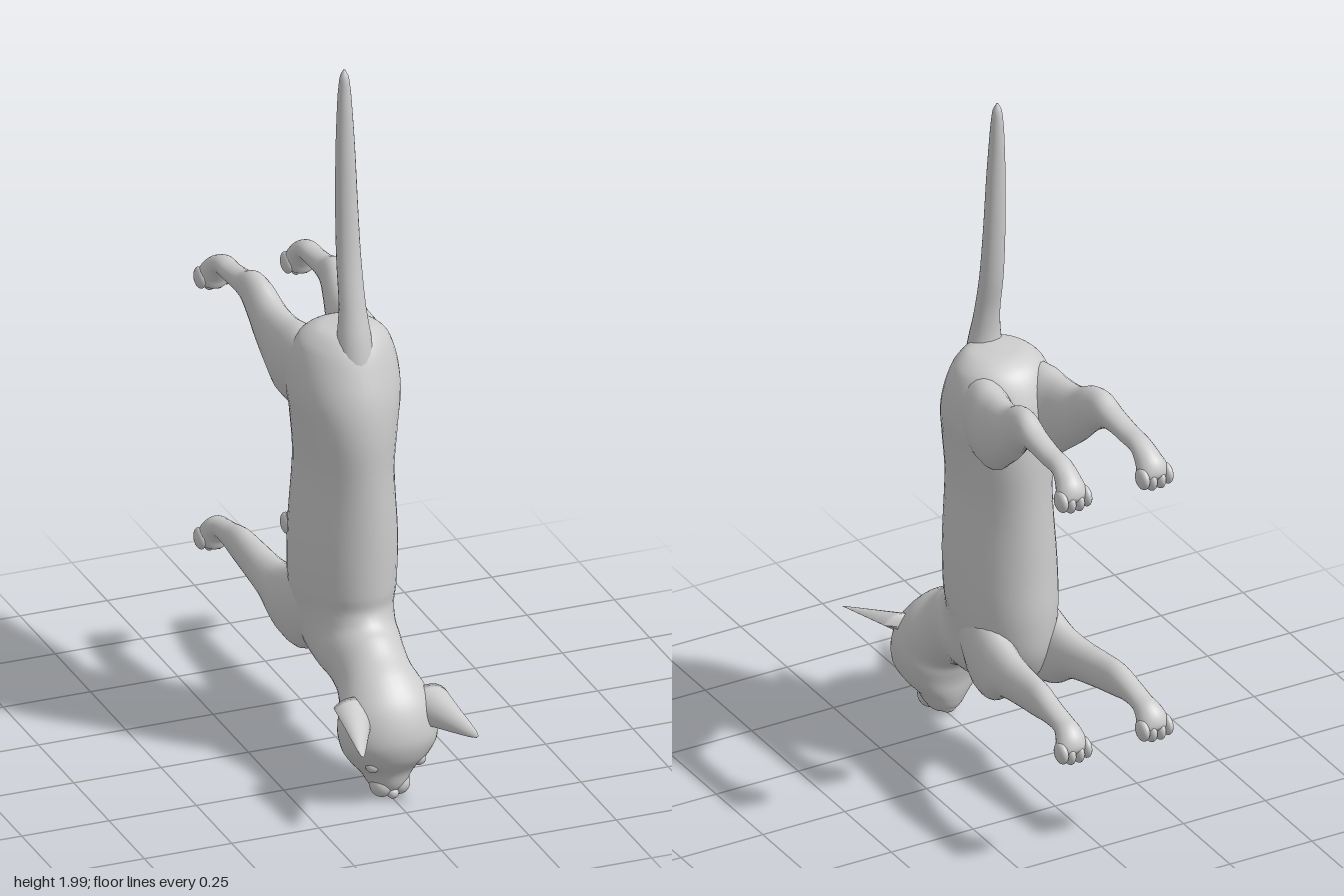
import * as THREE from 'three';

const material = new THREE.MeshStandardMaterial({ color: 0xcccccc, side: THREE.DoubleSide });

// Closed skin over a list of equal-sized rings, capped with a pole at each end
function skin(name, rings) {
  const n = rings[0].length, m = rings.length, pos = [], idx = [];
  rings.forEach(r => r.forEach(p => pos.push(p.x, p.y, p.z)));
  for (let i = 0; i < m - 1; i++) {
    for (let j = 0; j < n; j++) {
      const a = i * n + j, b = i * n + (j + 1) % n;
      idx.push(a, b, a + n, b, b + n, a + n);
    }
  }
  [0, m - 1].forEach((row, k) => {
    const c = new THREE.Vector3();
    rings[row].forEach(p => c.addScaledVector(p, 1 / n));
    pos.push(c.x, c.y, c.z);
    for (let j = 0; j < n; j++) {
      const a = row * n + j, b = row * n + (j + 1) % n;
      if (k) idx.push(m * n + 1, a, b); else idx.push(m * n, b, a);
    }
  });
  const g = new THREE.BufferGeometry();
  g.setAttribute('position', new THREE.Float32BufferAttribute(pos, 3));
  g.setIndex(idx);
  g.computeVertexNormals();
  const mesh = new THREE.Mesh(g, material);
  mesh.name = name;
  return mesh;
}

// Smooth loft; each section is [z1, y1, z2, y2, halfWidth, centreX]:
// two opposite points of the side profile plus the width across x
function loft(name, sections, side = 1, sides = 32, steps = 6) {
  const curve = f => new THREE.CatmullRomCurve3(sections.map(f));
  const first = curve(s => new THREE.Vector3(0, s[1], s[0]));
  const second = curve(s => new THREE.Vector3(0, s[3], s[2]));
  const across = curve((s, i) => new THREE.Vector3(s[4], (s[5] || 0) * side, i * 0.05));
  const rings = [], count = (sections.length - 1) * steps;
  for (let i = 0; i <= count; i++) {
    const t = i / count, a = first.getPoint(t), b = second.getPoint(t), w = across.getPoint(t);
    const centre = a.clone().add(b).multiplyScalar(0.5);
    centre.x = w.y;
    const up = a.sub(b).multiplyScalar(0.5);
    rings.push(Array.from({ length: sides }, (_, j) => {
      const th = j / sides * Math.PI * 2;
      const p = centre.clone().addScaledVector(up, Math.sin(th));
      p.x += w.x * Math.cos(th);
      return p;
    }));
  }
  return skin(name, rings);
}

function ellipsoid(name, x, y, z, rx, ry, rz) {
  const mesh = new THREE.Mesh(new THREE.SphereGeometry(1, 20, 14), material);
  mesh.name = name;
  mesh.position.set(x, y, z);
  mesh.scale.set(rx, ry, rz);
  return mesh;
}

// Cupped ear: crescent cross-sections shrinking to the tip
function ear(name, side) {
  const rings = [], n = 24;
  for (let i = 0; i <= 14; i++) {
    const t = i / 14, w = 0.064 * Math.sqrt(1 - t * 0.99) * (1 - 0.45 * t), d = 0.06 * (1 - t * 0.97);
    const cx = 0.1 + 0.065 * t, cy = 0.265 - 0.02 * t, z = 0.38 + 0.217 * t;
    rings.push(Array.from({ length: n }, (_, j) => {
      const th = side * j / n * Math.PI * 2, s = Math.sin(th);
      const u = w * Math.cos(th);
      const v = d * (s > 0 ? s : -s * (0.75 * t + 0.1 * (1 - t))) - d * 0.25;
      return new THREE.Vector3(side * (cx + 0.8 * u - 0.6 * v), cy + 0.6 * u + 0.8 * v, z);
    }));
  }
  return skin(name, rings);
}

// Lower leg end shared by all four legs, given at a height offset
const paw = dy => [
  [-0.52, 1.14, -0.55, 1.205, 0.037, 0.122],
  [-0.53, 1.115, -0.578, 1.182, 0.044, 0.124],
  [-0.545, 1.112, -0.59, 1.15, 0.04, 0.124],
  [-0.56, 1.118, -0.58, 1.13, 0.015, 0.124],
].map(([a, b, c, d, w, x]) => [a, b + dy, c, d + dy, w, x]);

function leg(name, sections, dy, side) {
  const group = new THREE.Group();
  group.name = name;
  group.add(loft('limb', [...sections, ...paw(dy)], side, 24));
  [-0.036, -0.013, 0.013, 0.036].forEach(o => {
    const outer = Math.abs(o) > 0.02;
    group.add(ellipsoid('toe', side * (0.124 + o), 1.13 + dy + (outer ? 0.008 : 0), -0.565, 0.015, 0.03, 0.031));
  });
  return group;
}

export function createModel() {
  const model = new THREE.Group();
  model.name = 'cat';

  // Rump, back, chest, neck and head as one continuous skin
  model.add(loft('bodyAndHead', [
    [0.1, 1.262, 0.04, 1.26, 0.02],
    [0.14, 1.25, -0.01, 1.252, 0.08],
    [0.17, 1.21, -0.06, 1.222, 0.122],
    [0.197, 1.15, -0.1, 1.15, 0.145],
    [0.225, 1.07, -0.12, 1.07, 0.15],
    [0.24, 0.98, -0.13, 1.0, 0.138],
    [0.242, 0.85, -0.135, 0.85, 0.126],
    [0.242, 0.65, -0.145, 0.65, 0.138],
    [0.24, 0.52, -0.155, 0.5, 0.136],
    [0.238, 0.48, -0.14, 0.39, 0.126],
    [0.25, 0.455, -0.07, 0.29, 0.118],
    [0.265, 0.44, 0.05, 0.25, 0.113],
    [0.29, 0.425, 0.15, 0.235, 0.104],
    [0.33, 0.395, 0.22, 0.21, 0.104],
    [0.39, 0.358, 0.26, 0.185, 0.12],
    [0.452, 0.29, 0.273, 0.15, 0.138],
    [0.481, 0.2, 0.28, 0.12, 0.13],
    [0.468, 0.14, 0.283, 0.09, 0.103],
    [0.435, 0.09, 0.288, 0.065, 0.072],
    [0.42, 0.045, 0.3, 0.035, 0.05],
    [0.395, 0.015, 0.325, 0.015, 0.03],
    [0.37, 0.008, 0.35, 0.008, 0.008],
  ], 1, 40));

  // Tail
  model.add(loft('tail', [
    [0.05, 1.17, 0.19, 1.15, 0.06],
    [0.085, 1.25, 0.172, 1.24, 0.047],
    [0.085, 1.34, 0.148, 1.33, 0.037],
    [0.063, 1.46, 0.122, 1.45, 0.034],
    [0.05, 1.6, 0.105, 1.6, 0.031],
    [0.043, 1.78, 0.092, 1.78, 0.026],
    [0.043, 1.93, 0.08, 1.93, 0.018],
    [0.048, 1.98, 0.073, 1.98, 0.012],
    [0.057, 2.0, 0.063, 2.0, 0.003],
  ], 1, 20));

  // Face details on the centre line
  model.add(ellipsoid('nose', 0, 0.025, 0.405, 0.016, 0.016, 0.016));
  model.add(ellipsoid('chin', 0, 0.036, 0.328, 0.026, 0.024, 0.025));

  const hind = [
    [0.0, 0.98, 0.1, 1.19, 0.05, 0.08],
    [-0.1, 0.985, -0.02, 1.225, 0.068, 0.086],
    [-0.155, 1.025, -0.1, 1.22, 0.058, 0.096],
    [-0.22, 1.08, -0.18, 1.227, 0.05, 0.103],
    [-0.27, 1.13, -0.25, 1.26, 0.043, 0.11],
    [-0.32, 1.165, -0.3, 1.267, 0.037, 0.115],
    [-0.36, 1.178, -0.36, 1.245, 0.034, 0.118],
    [-0.44, 1.176, -0.44, 1.23, 0.031, 0.12],
    [-0.5, 1.17, -0.5, 1.226, 0.031, 0.12],
  ];
  const front = [
    [0.05, 0.32, 0.12, 0.55, 0.045, 0.07],
    [-0.02, 0.275, -0.02, 0.52, 0.06, 0.08],
    [-0.1, 0.285, -0.14, 0.475, 0.056, 0.092],
    [-0.18, 0.335, -0.22, 0.467, 0.048, 0.102],
    [-0.28, 0.36, -0.3, 0.472, 0.042, 0.11],
    [-0.38, 0.378, -0.38, 0.476, 0.036, 0.117],
    [-0.45, 0.392, -0.45, 0.46, 0.032, 0.12],
    [-0.505, 0.39, -0.51, 0.446, 0.031, 0.12],
  ];

  // Paired parts
  for (const [label, side] of [['left', 1], ['right', -1]]) {
    model.add(leg(label + 'HindLeg', hind, 0, side));
    model.add(leg(label + 'FrontLeg', front, -0.768, side));
    model.add(ear(label + 'Ear', side));
    model.add(ellipsoid(label + 'Eye', side * 0.066, 0.125, 0.425, 0.02, 0.02, 0.018));
    model.add(ellipsoid(label + 'MuzzlePad', side * 0.024, 0.045, 0.382, 0.032, 0.035, 0.036));
  }
  return model;
}
